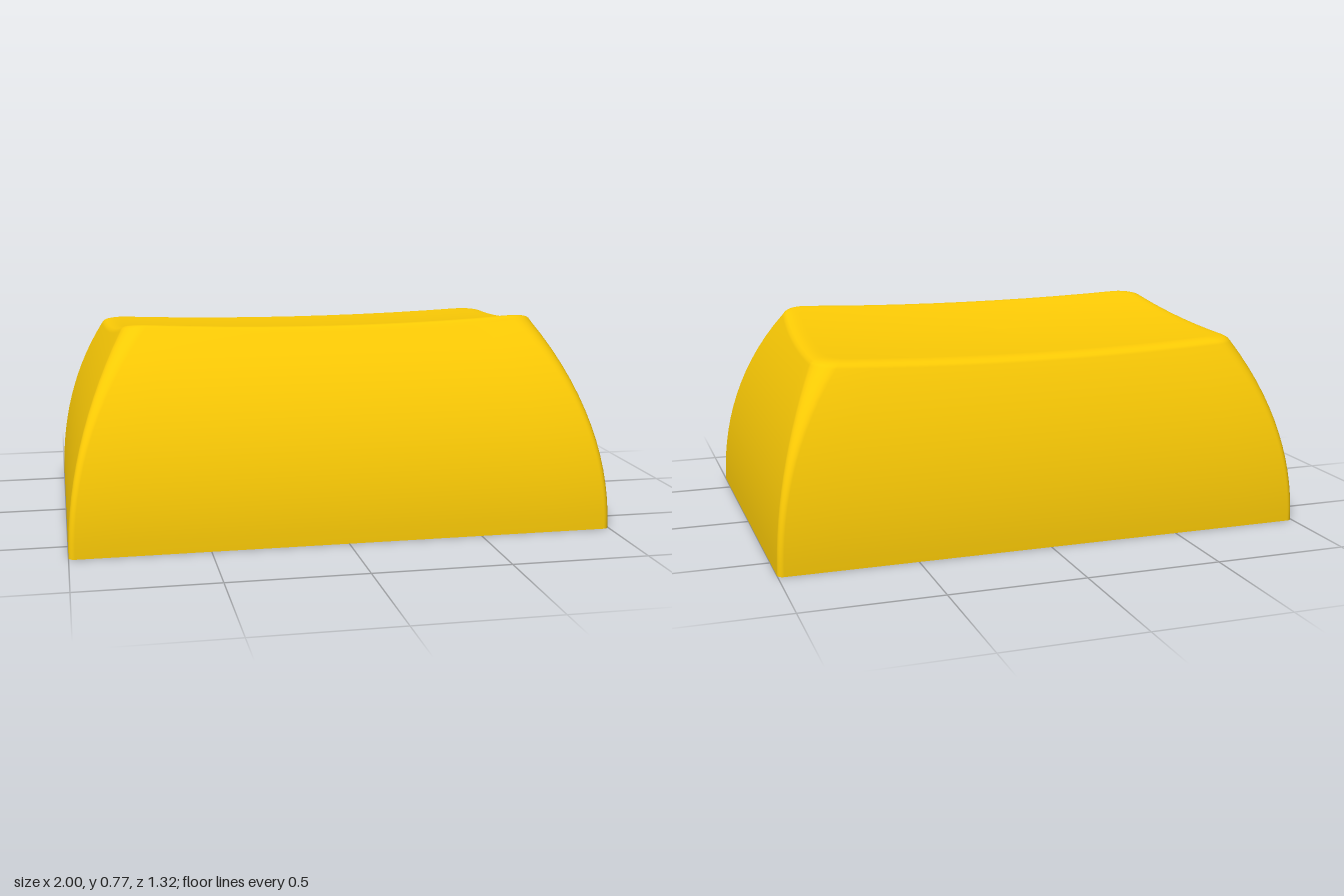
import * as THREE from 'three';
import { ParametricGeometry } from 'three/addons/geometries/ParametricGeometry.js';

const WALL_TOP = 0.965; // fraction of the height where the wall turns into the rim fillet
const THICK = 0.11; // wall thickness

// Wall profiles by height: circular arcs that start vertical
const arcIn = (y, r) => r - Math.sqrt(r * r - y * y);
const halfWidth = (y) => 1 - arcIn(y, 1.41);
const frontZ = (y) => 0.66 - arcIn(y, 1.17);
const backZ = (y) => -0.66 + arcIn(y, 1.485);

// Height of the dished, sloping top at normalised (u, v)
const topY = (u, v) => 0.7 + 0.041 * v + 0.024 * v * v + 0.024 * u * u;

// Point at (u, v) and height fraction t, on the outside or offset inwards by d
function capPoint(u, v, t, d = 0) {
  const top = topY(u, v) - d;
  const y = Math.min(t, WALL_TOP) * top;
  const back = backZ(y) + d, front = frontZ(y) - d;
  return [u * (halfWidth(y) - d), t * top, back + (front - back) * (v + 1) / 2];
}

// Rounded rectangle outline as [x, z] points, running from +x towards +z
function roundedOutline(hw, hd, r, arcSteps = 6, sideSteps = 10) {
  const arcs = [[1, 1], [-1, 1], [-1, -1], [1, -1]].map(([sx, sz], q) => {
    const arc = [];
    for (let k = 0; k <= arcSteps; k++) {
      const a = (q + k / arcSteps) * Math.PI / 2;
      arc.push([sx * (hw - r) + r * Math.cos(a), sz * (hd - r) + r * Math.sin(a)]);
    }
    return arc;
  });
  const points = [];
  arcs.forEach((arc, q) => {
    points.push(...arc);
    const a = arc[arcSteps], b = arcs[(q + 1) % 4][0];
    for (let k = 1; k < sideSteps; k++) {
      const f = k / sideSteps;
      points.push([a[0] + (b[0] - a[0]) * f, a[1] + (b[1] - a[1]) * f]);
    }
  });
  return points;
}

// One cross-section: t = height fraction, inset from the wall, scale towards the middle
function section(t, inset = 0, scale = 1) {
  const wallT = Math.min(t, WALL_TOP);
  const y = wallT * 0.74;
  const hw = halfWidth(y), hd = (frontZ(y) - backZ(y)) / 2;
  const r = 0.022 + 0.065 * wallT ** 3;
  return roundedOutline(hw - inset, hd - inset, r)
    .map(([x, z]) => capPoint(x / hw * scale, z / hd * scale, t));
}

// Skin over a stack of equal-length closed sections
function loft(sections) {
  const n = sections[0].length, index = [];
  for (let i = 0; i < sections.length - 1; i++) {
    for (let j = 0; j < n; j++) {
      const a = i * n + j, b = i * n + (j + 1) % n;
      index.push(a, a + n, b, b, a + n, b + n);
    }
  }
  const geo = new THREE.BufferGeometry();
  geo.setAttribute('position', new THREE.Float32BufferAttribute(sections.flat(2), 3));
  geo.setIndex(index);
  geo.computeVertexNormals();
  return geo;
}

export function createModel() {
  const group = new THREE.Group();
  const material = new THREE.MeshStandardMaterial({ color: 0xfccb05 });
  const add = (name, geometry, parent = group) => {
    const mesh = new THREE.Mesh(geometry, material);
    mesh.name = name;
    parent.add(mesh);
  };
  const addPart = (name) => {
    const part = new THREE.Group();
    part.name = name;
    group.add(part);
    return part;
  };

  // Curved walls, rim fillet and dished top
  const sections = [];
  for (let i = 0; i <= 14; i++) sections.push(section(WALL_TOP * i / 14));
  [[0.978, 0.006], [0.989, 0.016], [0.996, 0.03], [1, 0.05]].forEach(([t, d]) => sections.push(section(t, d)));
  [0.97, 0.8, 0.6, 0.4, 0.2, 0.001].forEach((s) => sections.push(section(1, 0.05, s)));
  add('outerShell', loft(sections));

  // Flat underside edge around the opening
  const toVectors = (points) => points.map(([x, z]) => new THREE.Vector2(x, z));
  const hw = 1 - THICK, hd = 0.66 - THICK;
  const rim = new THREE.Shape(toVectors(roundedOutline(1, 0.66, 0.022)));
  rim.holes.push(new THREE.Path(toVectors([[-hw, -hd], [-hw, hd], [hw, hd], [hw, -hd]])));
  add('bottomRim', new THREE.ShapeGeometry(rim).rotateX(Math.PI / 2));

  // Hollow inside: four curved walls with sharp corners, and a dished ceiling
  const cavity = addPart('innerCavity');
  for (const [cu, cv] of [[1, 0], [0, 1], [-1, 0], [0, -1]]) {
    add('innerWall', new ParametricGeometry((a, t, target) => {
      const s = 2 * a - 1;
      target.set(...capPoint(cu - cv * s, cv + cu * s, t, THICK));
    }, 12, 12), cavity);
  }
  add('ceiling', new ParametricGeometry((a, b, target) => {
    target.set(...capPoint(2 * a - 1, 2 * b - 1, 1, THICK));
  }, 12, 12), cavity);

  // Mounting stem with a cross-shaped socket
  const stem = addPart('stem');
  const R = 0.187, L = 0.148, W = 0.045, depth = 0.3;
  const ring = new THREE.Shape().absarc(0, 0, R, 0, Math.PI * 2);
  const cross = [];
  for (let q = 0; q < 4; q++) {
    const c = Math.round(Math.cos(q * Math.PI / 2)), s = Math.round(Math.sin(q * Math.PI / 2));
    [[L, -W], [L, W], [W, W]].forEach(([x, y]) => cross.push([x * c - y * s, x * s + y * c]));
  }
  ring.holes.push(new THREE.Path(toVectors(cross)));
  const socket = new THREE.ExtrudeGeometry(ring, { depth, bevelEnabled: false, curveSegments: 24 });
  add('stemSocket', socket.rotateX(-Math.PI / 2), stem);
  add('stemCore', new THREE.CylinderGeometry(R, R, 0.32, 48).translate(0, depth + 0.16, 0), stem);

  return group;
}
